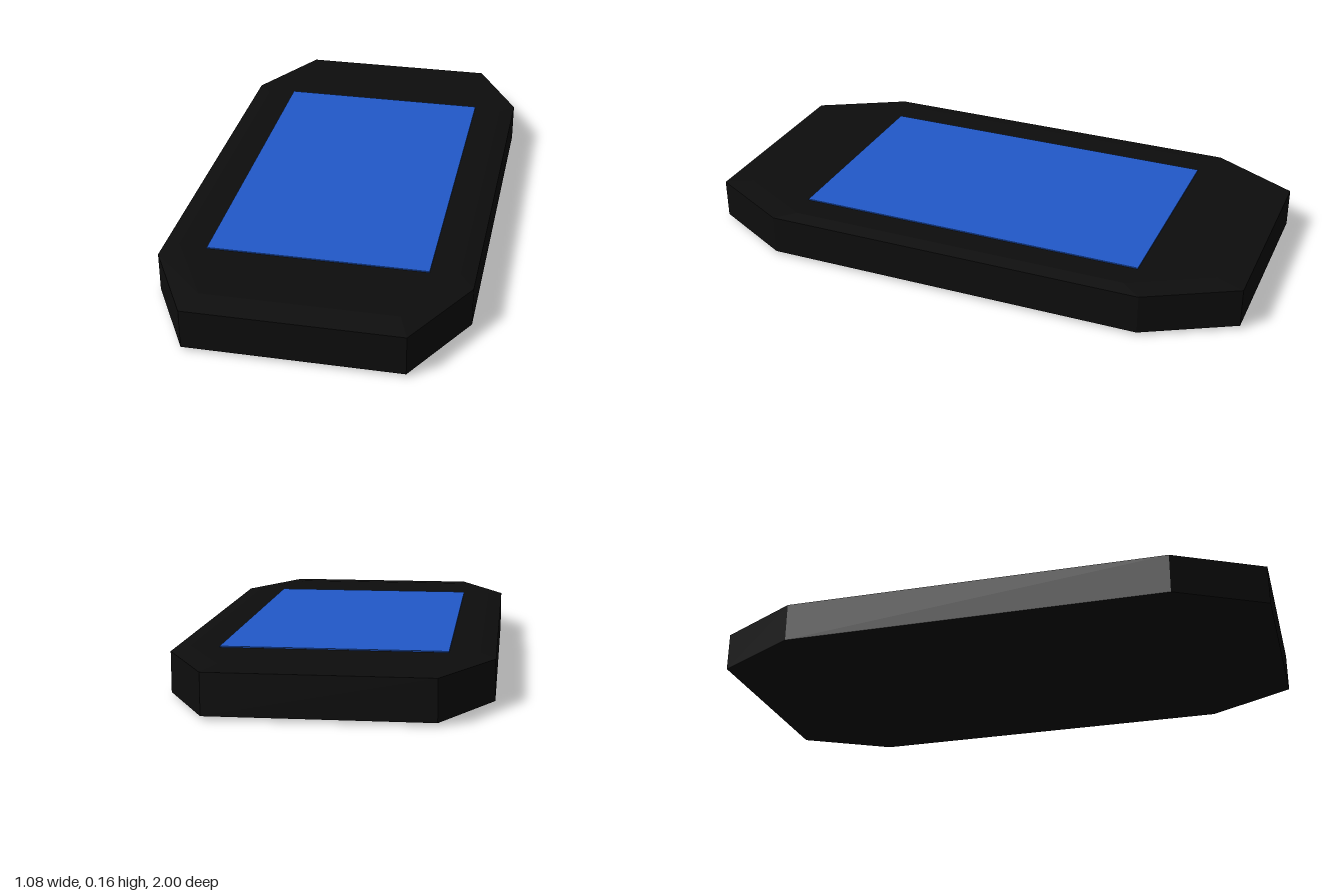
import * as THREE from 'three';

// Outline of the case, counter-clockwise seen from above (x, z)
const OUTLINE = [
  [0.54, -0.69], [0.37, -1], [-0.37, -1], [-0.54, -0.69],
  [-0.54, 0.69], [-0.37, 1], [0.37, 1], [0.54, 0.69],
];

// Cross-sections from bottom to top: height and scale of the outline
const SECTIONS = [[0, 0.9], [0.01, 1], [0.15, 1], [0.157, 0.9]];

function caseGeometry() {
  const n = OUTLINE.length;
  const positions = [];
  const point = (level, i) => {
    const [y, s] = SECTIONS[level];
    const [x, z] = OUTLINE[i % n];
    return [x * s, y, z * s];
  };
  const triangle = (a, b, c) => positions.push(...a, ...b, ...c);
  const top = SECTIONS.length - 1;

  for (let i = 0; i < n; i++) {
    // Walls and bevels
    for (let k = 0; k < top; k++) {
      const a = point(k, i), b = point(k, i + 1);
      const c = point(k + 1, i + 1), d = point(k + 1, i);
      triangle(a, b, c);
      triangle(a, c, d);
    }
    // Caps
    triangle([0, SECTIONS[top][0], 0], point(top, i), point(top, i + 1));
    triangle([0, SECTIONS[0][0], 0], point(0, i + 1), point(0, i));
  }

  const geometry = new THREE.BufferGeometry();
  geometry.setAttribute('position', new THREE.Float32BufferAttribute(positions, 3));
  geometry.computeVertexNormals();
  return geometry;
}

export function createModel() {
  const model = new THREE.Group();
  model.name = 'handheldDevice';

  // Eight-sided case with shallow bevels above and below
  const body = new THREE.Mesh(
    caseGeometry(),
    new THREE.MeshStandardMaterial({ color: 0x0d0d0d, flatShading: true })
  );
  body.name = 'case';
  model.add(body);

  // Screen panel, standing slightly proud of the case
  const screen = new THREE.Mesh(
    new THREE.BoxGeometry(0.77, 0.02, 1.27),
    new THREE.MeshStandardMaterial({ color: 0x2159c9 })
  );
  screen.name = 'screen';
  screen.position.set(0, 0.151, -0.004);
  model.add(screen);

  return model;
}
